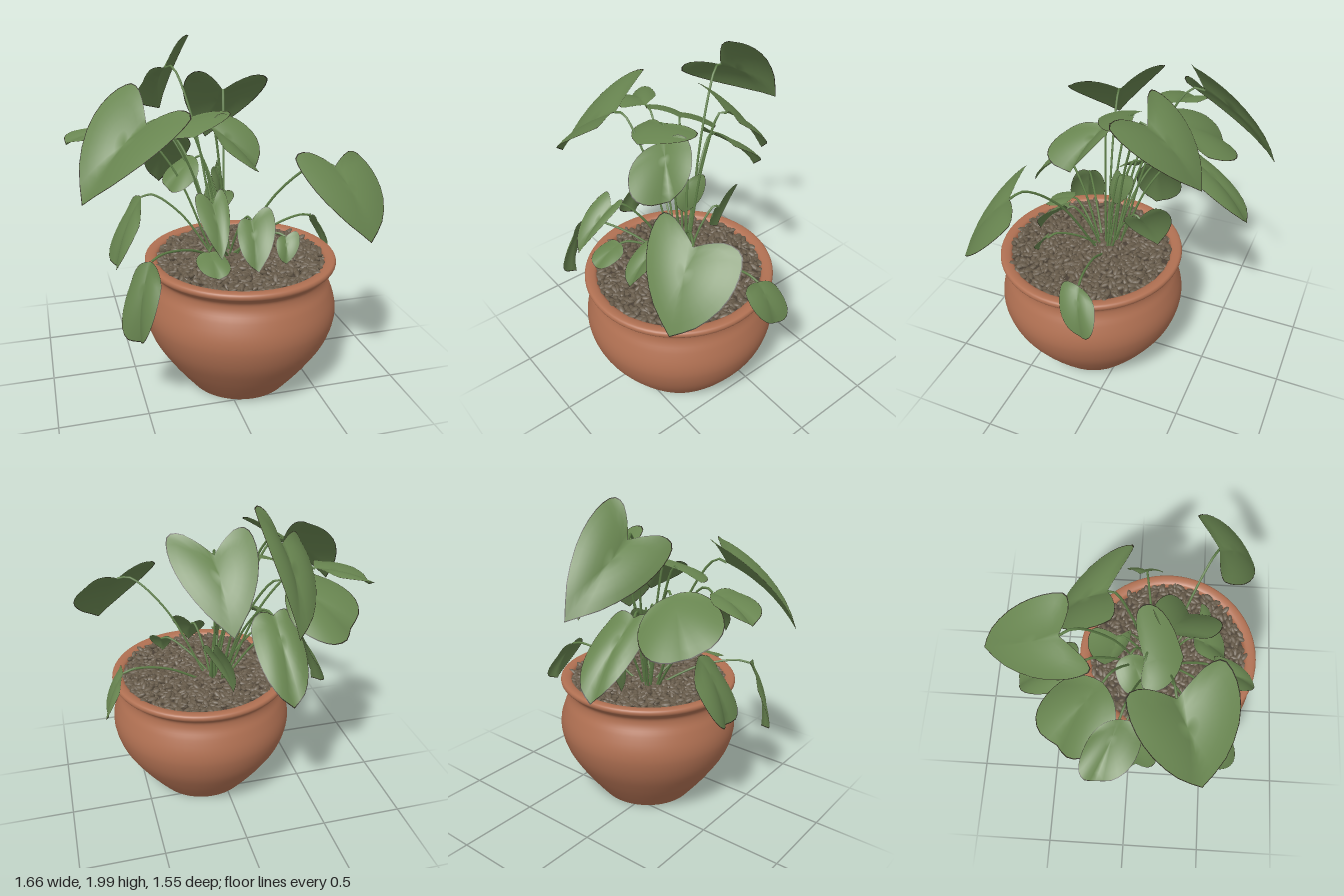
import * as THREE from 'three';
import { mergeGeometries } from 'three/addons/utils/BufferGeometryUtils.js';

const mat = (name, color) => Object.assign(new THREE.MeshStandardMaterial({ color }), { name });
const V = (a) => new THREE.Vector3(...a);

function seeded(seed) {
  return () => {
    seed = (seed * 16807) % 2147483647;
    return seed / 2147483647;
  };
}

// Half of a heart outline: x = share of the way to the lobe corner, y = share along the midrib
const half = new THREE.CatmullRomCurve3(
  [[0, 0], [0.3, -0.07], [0.7, -0.1], [1, 0], [1.08, 0.24], [0.97, 0.52], [0.58, 0.81], [0, 1]].map(
    ([u, v]) => new THREE.Vector3(u, v, 0)
  )
).getPoints(16);
const outline = [...half, ...half.slice(1, -1).reverse().map((p) => new THREE.Vector3(-p.x, p.y, 0))];
const rings = [0.2, 0.4, 0.6, 0.8, 0.982, 1];

// A curved heart leaf stretched between its notch, tip and two lobe corners;
// group 0 is the blade, group 1 its narrow dry margin
function leafGeometry(notch, tip, cornerA, cornerB) {
  const base = V(notch), axis = V(tip).sub(base);
  const a = V(cornerA).sub(base), b = V(cornerB).sub(base);
  const normal = b.clone().sub(a).cross(axis).normalize();
  if (normal.y < 0) normal.negate();
  const size = axis.length(), n = outline.length;
  const pos = [], blade = [], margin = [];
  const add = (u, v) => {
    const p = base.clone().addScaledVector(axis, v).addScaledVector(u < 0 ? a : b, Math.abs(u));
    const puff = 0.3 * Math.max(0, v) * (1 - v) + 0.12 * Math.abs(u) * (1 - Math.abs(u));
    p.addScaledVector(normal, puff * size);
    pos.push(p.x, p.y, p.z);
  };
  add(0, 0.3);
  for (const r of rings) for (const p of outline) add(p.x * r, 0.3 + (p.y - 0.3) * r);
  for (let i = 0; i < n; i++) {
    const j = (i + 1) % n;
    blade.push(0, 1 + i, 1 + j);
    for (let r = 1; r < rings.length; r++) {
      const o = 1 + (r - 1) * n;
      const target = r === rings.length - 1 ? margin : blade;
      target.push(o + i, o + n + i, o + n + j, o + i, o + n + j, o + j);
    }
  }
  const g = new THREE.BufferGeometry();
  g.setAttribute('position', new THREE.Float32BufferAttribute(pos, 3));
  g.setIndex([...blade, ...margin]);
  g.addGroup(0, blade.length, 0);
  g.addGroup(blade.length, margin.length, 1);
  g.computeVertexNormals();
  return g;
}

export function createModel() {
  const model = new THREE.Group();
  const rand = seeded(7);
  const clay = mat('terracotta', 0xb07052);
  const green = mat('leaf green', 0x688550);
  const edge = mat('leaf margin', 0x2a271c);
  const stalk = mat('stem green', 0x5f7f48);
  const stone = mat('pebble brown', 0x675b4a);
  const earth = mat('dark soil', 0x4a4036);
  green.side = edge.side = clay.side = THREE.DoubleSide;

  const mesh = (name, geometry, material, parent = model) => {
    const m = new THREE.Mesh(geometry, material);
    m.name = name;
    parent.add(m);
    return m;
  };

  // Pot, off-centre under the foliage
  const pot = new THREE.Group();
  pot.name = 'pot';
  pot.position.set(0.11, 0, 0.22);
  model.add(pot);
  const wall = new THREE.CatmullRomCurve3(
    [[0.3, 0.005], [0.368, 0.09], [0.448, 0.2], [0.525, 0.33], [0.56, 0.45], [0.558, 0.53], [0.53, 0.62],
      [0.503, 0.68], [0.5, 0.72], [0.525, 0.75], [0.548, 0.768], [0.553, 0.785], [0.545, 0.8], [0.515, 0.803],
      [0.485, 0.79], [0.475, 0.72]].map(([x, y]) => new THREE.Vector3(x, y, 0))
  ).getPoints(60).map((p) => new THREE.Vector2(p.x, p.y));
  mesh('potWall', new THREE.LatheGeometry(wall, 64), clay, pot);
  const foot = [[0, 0.02], [0.27, 0.02], [0.285, 0], [0.3, 0.005]].map((p) => new THREE.Vector2(...p));
  mesh('potFoot', new THREE.LatheGeometry(foot, 64), clay, pot);
  mesh('soil', new THREE.CircleGeometry(0.48, 48).rotateX(-Math.PI / 2).translate(0, 0.765, 0), earth, pot);

  // Pebble layer: elongated stones spread evenly on a spiral
  const pebbles = [];
  const q = new THREE.Quaternion(), e = new THREE.Euler(), m4 = new THREE.Matrix4();
  const count = 900;
  for (let i = 0; i < count; i++) {
    const r = 0.485 * Math.sqrt((i + 0.5) / count), t = i * 2.39996 + rand() * 0.1;
    const s = 0.8 + rand() * 0.4;
    q.setFromEuler(e.set(rand() * 0.8 - 0.4, rand() * 6.283, rand() * 0.9 - 0.45));
    m4.compose(
      new THREE.Vector3(r * Math.cos(t), 0.775 + rand() * 0.015, r * Math.sin(t)), q,
      new THREE.Vector3(0.032 * s, 0.013 * s, 0.016 * s)
    );
    pebbles.push(new THREE.SphereGeometry(1, 8, 5).applyMatrix4(m4));
  }
  mesh('pebbles', mergeGeometries(pebbles), stone, pot);

  // Each leaf gets a thin stem arching out of the crown
  const plant = new THREE.Group();
  plant.name = 'plant';
  model.add(plant);
  const leaf = (notch, tip, cornerA, cornerB) => {
    mesh('leaf', leafGeometry(notch, tip, cornerA, cornerB), [green, edge], plant);
    const end = V(notch);
    const root = new THREE.Vector3(0.04 + end.x * 0.12 + (rand() - 0.5) * 0.06, 0.77, 0.15 + (end.z - 0.15) * 0.15);
    const rise = Math.max(end.y - 0.77, 0.18);
    const bend = root.clone().lerp(end, 0.45).setY(0.77 + rise * 0.72);
    const knee = root.clone().lerp(end, 0.85).setY(Math.max(end.y + 0.015, 0.77 + rise * 0.97));
    const path = new THREE.CatmullRomCurve3([root, bend, knee, end]);
    mesh('stem', new THREE.TubeGeometry(path, 20, 0.007, 6), stalk, plant);
  };

  // Upper leaves
  leaf([-0.42, 1.6, 0.25], [-0.79, 1.24, 0.42], [-0.48, 1.77, 0.0], [-0.23, 1.67, 0.48]);
  leaf([-0.2, 1.8, -0.34], [-0.16, 1.47, -0.77], [-0.36, 1.75, -0.18], [-0.06, 1.99, -0.31]);
  leaf([0.1, 1.69, -0.13], [0.07, 1.34, -0.44], [-0.1, 1.8, -0.09], [0.33, 1.77, -0.01]);
  leaf([-0.06, 1.55, 0.18], [0.16, 1.33, 0.31], [0.07, 1.59, 0.11], [-0.04, 1.48, 0.42]);
  leaf([-0.22, 1.56, 0.08], [-0.17, 1.52, 0.28], [-0.36, 1.51, 0.09], [0.05, 1.6, 0.03]);
  leaf([-0.32, 1.48, -0.13], [-0.62, 1.27, -0.36], [-0.54, 1.47, -0.05], [-0.28, 1.34, -0.36]);
  leaf([-0.52, 1.51, -0.03], [-0.82, 1.42, -0.13], [-0.6, 1.5, 0.09], [-0.61, 1.5, -0.17]);
  leaf([0.56, 1.36, 0.47], [0.68, 1.0, 0.72], [0.32, 1.43, 0.49], [0.77, 1.37, 0.34]);

  // Middle leaves
  leaf([-0.19, 1.37, -0.28], [-0.2, 1.0, -0.65], [-0.31, 1.33, -0.3], [-0.05, 1.33, -0.33]);
  leaf([-0.1, 1.33, 0.0], [-0.28, 1.18, 0.08], [-0.18, 1.3, -0.08], [-0.12, 1.25, 0.12]);
  leaf([-0.42, 1.12, 0.0], [-0.58, 0.72, 0.06], [-0.49, 1.0, -0.13], [-0.46, 1.0, 0.15]);
  leaf([-0.13, 1.22, 0.5], [-0.14, 1.0, 0.73], [-0.22, 1.26, 0.49], [-0.06, 1.27, 0.47]);
  leaf([0.0, 1.28, 0.06], [0.02, 1.08, 0.1], [-0.04, 1.27, 0.12], [0.04, 1.29, -0.03]);

  // Low and drooping leaves
  leaf([0.13, 1.05, 0.36], [0.11, 0.83, 0.57], [0.04, 1.03, 0.39], [0.24, 1.11, 0.37]);
  leaf([0.32, 0.95, 0.4], [0.3, 0.82, 0.48], [0.26, 0.94, 0.42], [0.39, 0.97, 0.41]);
  leaf([-0.14, 0.93, 0.46], [-0.13, 0.85, 0.64], [-0.22, 0.91, 0.5], [-0.06, 0.91, 0.5]);
  leaf([-0.46, 0.93, 0.5], [-0.54, 0.5, 0.56], [-0.56, 0.8, 0.44], [-0.43, 0.84, 0.62]);
  leaf([0.61, 0.93, 0.06], [0.72, 0.67, 0.01], [0.62, 0.91, 0.16], [0.65, 0.86, -0.05]);
  leaf([0.1, 1.08, -0.09], [0.0, 0.84, -0.17], [0.14, 1.07, -0.01], [0.1, 1.18, -0.23]);
  return model;
}
